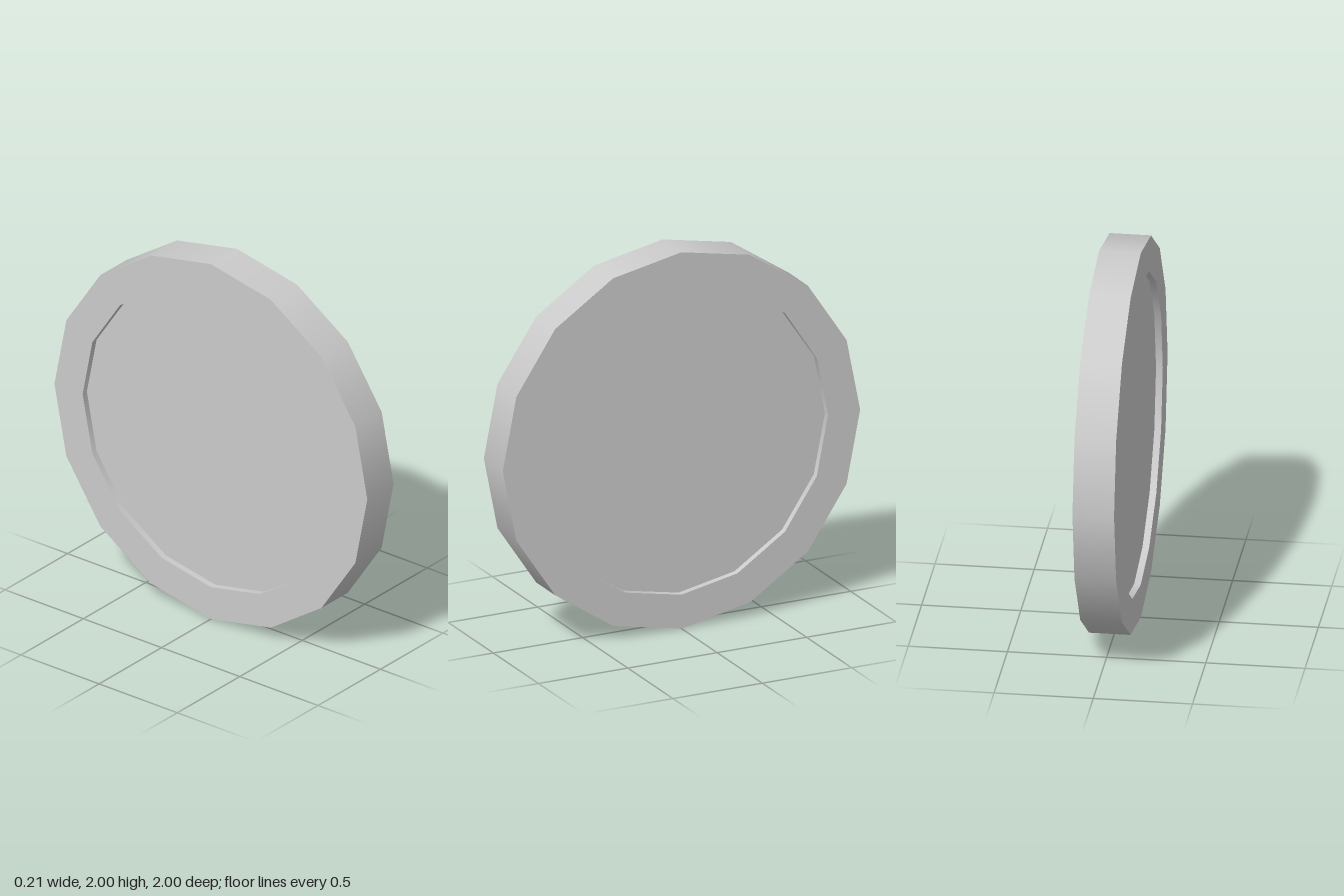
import * as THREE from 'three';

const SIDES = 16;
const OUTER = 1;        // outer radius
const INNER = 0.82;     // recess radius
const HALF = 0.105;     // half thickness
const DEPTH = 0.034;    // recess depth

const material = new THREE.MeshStandardMaterial({ color: 0xcccccc });

function part(name, geometry, parent) {
  const mesh = new THREE.Mesh(geometry, material);
  mesh.name = name;
  parent.add(mesh);
  return mesh;
}

// Open band around the x axis; running from high to low x turns it inward
function band(radius, from, to) {
  const points = [new THREE.Vector2(radius, from), new THREE.Vector2(radius, to)];
  return new THREE.LatheGeometry(points, SIDES).rotateZ(-Math.PI / 2);
}

// One face of the disc, looking along +x
function createFace(name) {
  const face = new THREE.Group();
  face.name = name;
  part('rim', new THREE.RingGeometry(INNER, OUTER, SIDES).rotateY(Math.PI / 2).translate(HALF, 0, 0), face);
  part('recessWall', band(INNER, HALF, HALF - DEPTH), face);
  part('recessFloor', new THREE.CircleGeometry(INNER, SIDES).rotateY(Math.PI / 2).translate(HALF - DEPTH, 0, 0), face);
  return face;
}

export function createModel() {
  const model = new THREE.Group();
  model.name = 'disc';

  const disc = new THREE.Group();
  disc.name = 'standingDisc';
  disc.position.y = OUTER;
  model.add(disc);

  // Smooth-shaded outer edge
  part('outerEdge', band(OUTER, -HALF, HALF), disc);

  // Matching recessed faces on both sides
  const left = createFace('leftFace');
  const right = createFace('rightFace');
  right.rotation.y = Math.PI;
  disc.add(left, right);

  return model;
}
